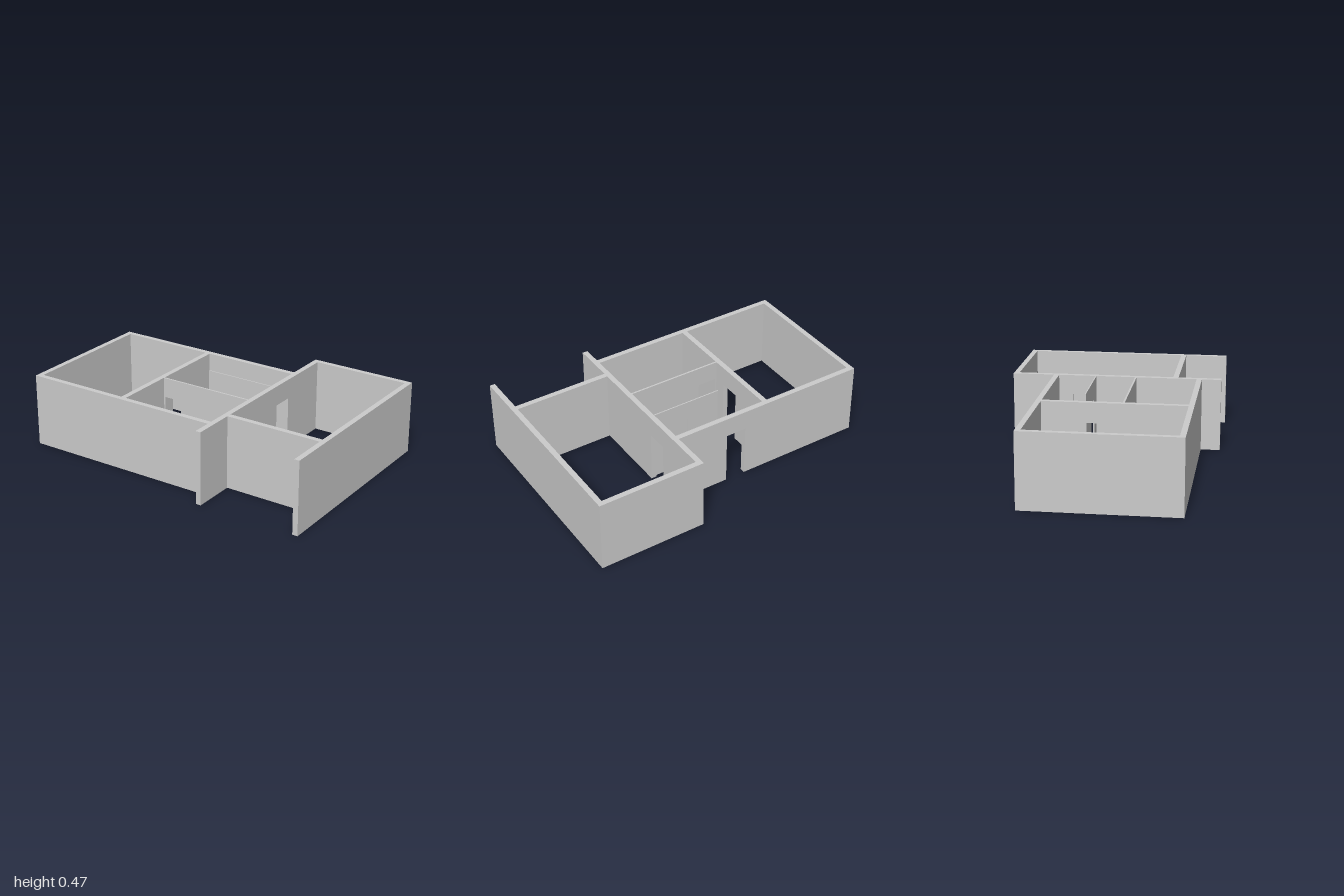
import * as THREE from 'three';

const HEIGHT = 0.467, DOOR = 0.34, T = 0.034;
const material = new THREE.MeshStandardMaterial({ color: 0xcccccc, flatShading: true });

// Upright wall panel of the given length, with an optional doorway cut up from the floor.
function panel(length, thickness, door) {
  const s = new THREE.Shape();
  s.moveTo(0, 0);
  if (door) {
    s.lineTo(door[0], 0);
    s.lineTo(door[0], DOOR);
    s.lineTo(door[1], DOOR);
    s.lineTo(door[1], 0);
  }
  s.lineTo(length, 0);
  s.lineTo(length, HEIGHT);
  s.lineTo(0, HEIGHT);
  return new THREE.ExtrudeGeometry(s, { depth: thickness, bevelEnabled: false });
}

// Wall running along x from x0 to x1, its back face at z; door is a pair of x positions.
function wallX(name, x0, x1, z, thickness, door) {
  const g = panel(x1 - x0, thickness, door && door.map(d => d - x0));
  const mesh = new THREE.Mesh(g.translate(x0, 0, z), material);
  mesh.name = name;
  return mesh;
}

// Wall running along z from z0 to z1, its lower-x face at x; door is a pair of z positions.
function wallZ(name, z0, z1, x, thickness, door) {
  const g = panel(z1 - z0, thickness, door && [z1 - door[1], z1 - door[0]]);
  const mesh = new THREE.Mesh(g.rotateY(Math.PI / 2).translate(x, 0, z1), material);
  mesh.name = name;
  return mesh;
}

export function createModel() {
  const house = new THREE.Group();
  house.name = 'houseWalls';
  const back = -0.407, front = 0.516;        // back faces of the long wing's outer walls
  const mid = 0.309, right = 1 - T;          // lower-x faces of the side wing's long walls

  house.add(
    // Long wing
    wallX('longWingBackWall', -1, mid, back, T, [-0.17, -0.036]),
    wallX('longWingFrontWall', -1, mid, front, T),
    wallZ('longWingEndWall', back + T, front, -1, T),
    wallZ('roomDividingWall', back + T, front, -0.348, T, [-0.095, 0.04]),

    // Side wing
    wallZ('sharedWall', -0.673 + T, 0.673, mid, T, [-0.285, -0.148]),
    wallZ('sideWingOuterWall', -0.673 + T, 0.673, right, T),
    wallX('sideWingBackWall', mid, 1, -0.673, T),
    wallX('sideWingFrontWall', mid + T, right, 0.364, T),

    // Thin inner partitions
    wallX('hallPartition', -0.314, mid, 0.12, 0.011, [-0.305, -0.18]),
    wallX('closetPartition', -0.15, mid, -0.136, 0.007, [0.068, 0.2])
  );
  return house;
}
